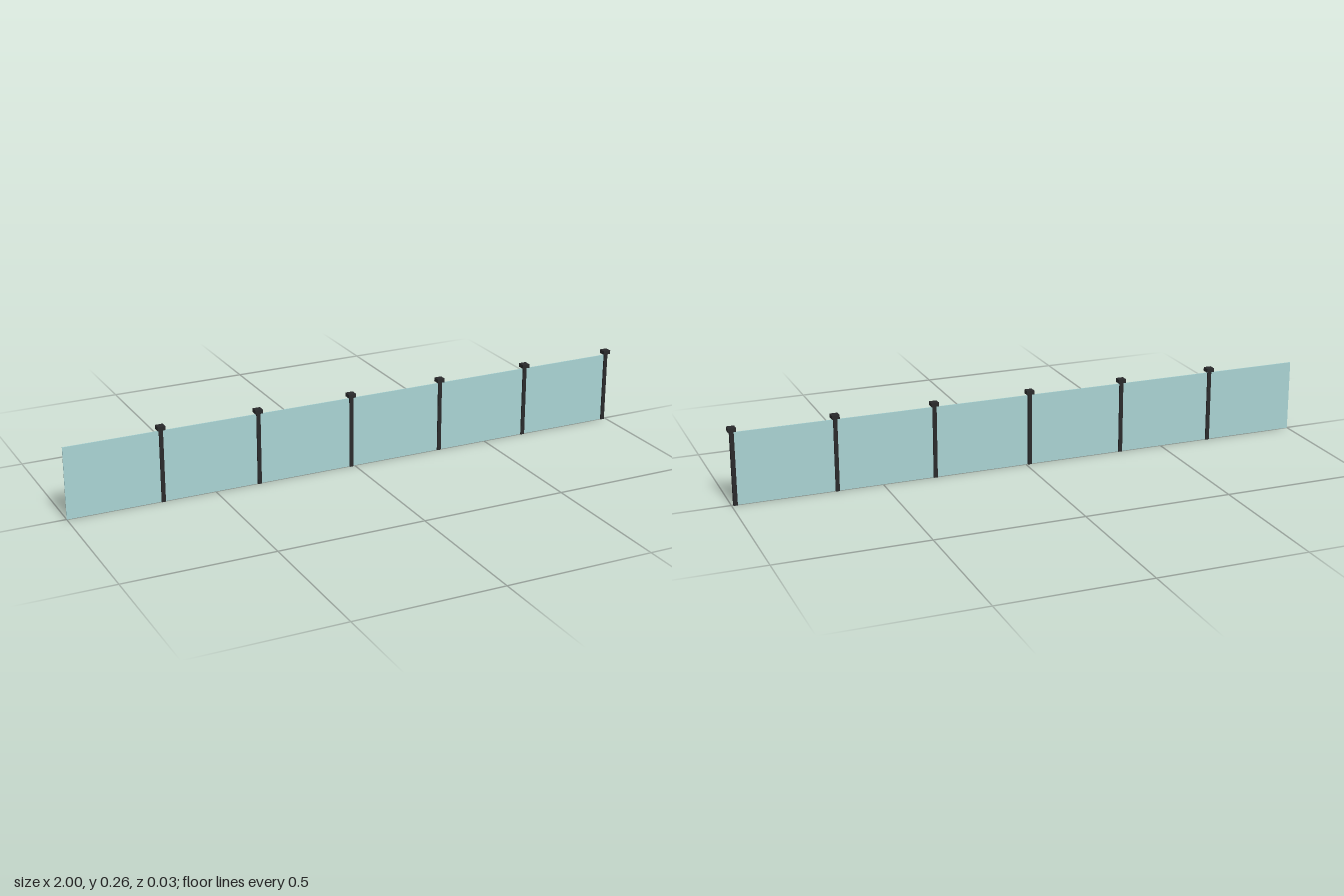
import * as THREE from 'three';

export function createModel() {
  const model = new THREE.Group();
  const glass = new THREE.MeshStandardMaterial({ color: 0xa9d3d3 });
  const dark = new THREE.MeshStandardMaterial({ color: 0x2a2a2c });

  const BAYS = 6, PITCH = 1 / 3;
  const POST = 0.013, CAP = 0.026, HEIGHT = 0.26, CAP_H = 0.013;
  const PANEL_TOP = 0.243, PANEL_T = 0.003;

  // Box placed by its base height
  function box(name, parent, material, w, h, d, x, y) {
    const mesh = new THREE.Mesh(new THREE.BoxGeometry(w, h, d), material);
    mesh.name = name;
    mesh.position.set(x, y + h / 2, 0);
    parent.add(mesh);
  }

  // Each bay is a glass panel ending in a capped post on its left (+x) side
  for (let i = 0; i < BAYS; i++) {
    const bay = new THREE.Group();
    bay.name = 'fenceBay';
    const postX = -1 + (i + 1) * PITCH - CAP / 2;
    const start = i === 0 ? -1 : postX - PITCH + POST / 2;
    const end = postX - POST / 2;
    box('glassPanel', bay, glass, end - start, PANEL_TOP, PANEL_T, (start + end) / 2, 0);
    box('post', bay, dark, POST, HEIGHT - CAP_H, POST, postX, 0);
    box('postCap', bay, dark, CAP, CAP_H, CAP, postX, HEIGHT - CAP_H);
    model.add(bay);
  }
  return model;
}
